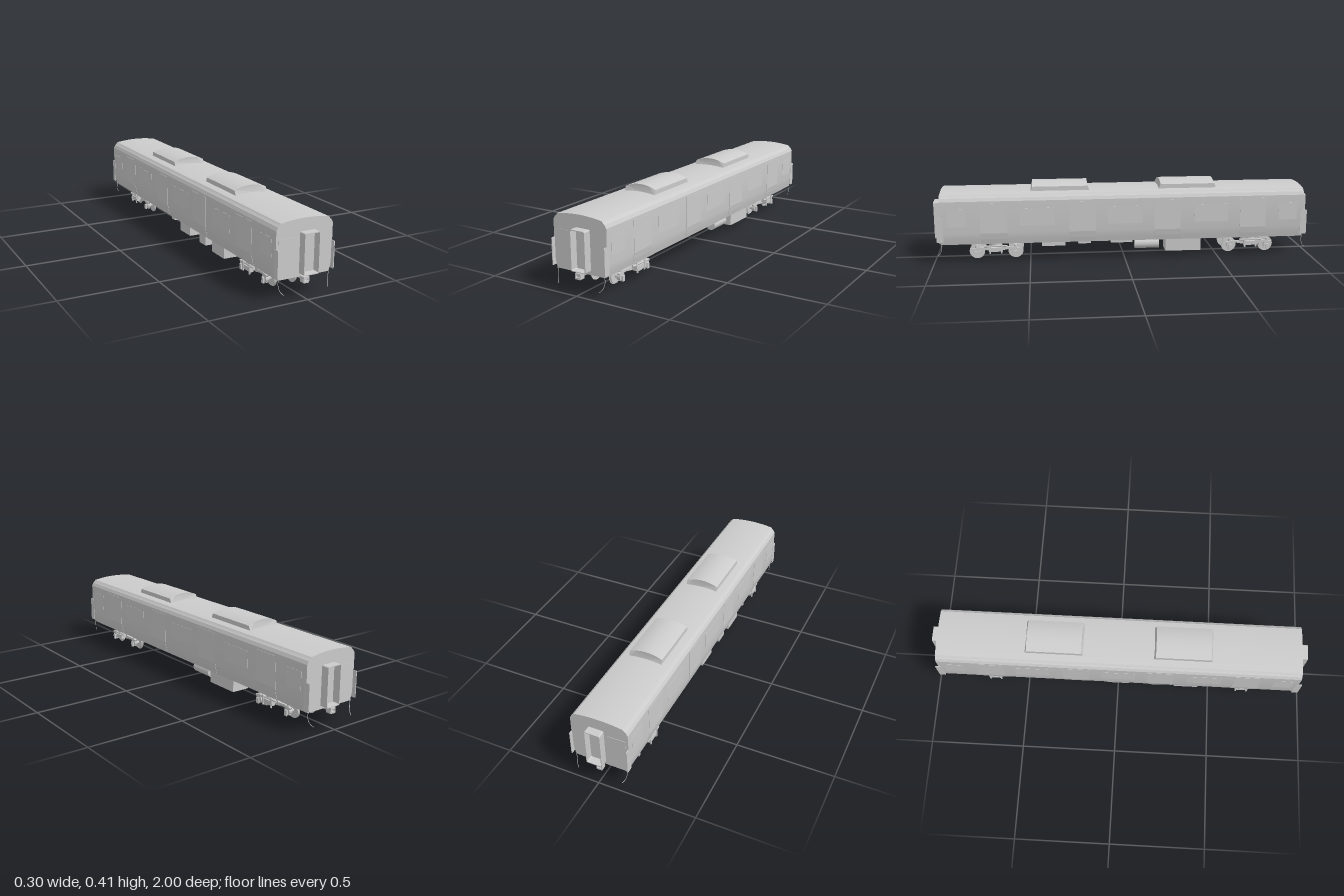
import * as THREE from 'three';
import { toCreasedNormals } from 'three/addons/utils/BufferGeometryUtils.js';

const grey = new THREE.MeshStandardMaterial({ color: 0xcccccc });
const twoSided = new THREE.MeshStandardMaterial({ color: 0xcccccc, side: THREE.DoubleSide });

function add(parent, name, geometry, x = 0, y = 0, z = 0, material = grey) {
  const mesh = new THREE.Mesh(geometry, material);
  mesh.name = name;
  mesh.position.set(x, y, z);
  parent.add(mesh);
  return mesh;
}

// Box given by its limits
function box(parent, name, x0, x1, y0, y1, z0, z1) {
  return add(parent, name, new THREE.BoxGeometry(x1 - x0, y1 - y0, z1 - z0),
    (x0 + x1) / 2, (y0 + y1) / 2, (z0 + z1) / 2);
}

// Cylinder along the chosen axis
function rod(parent, name, r, length, axis, x, y, z, sides = 20) {
  const g = new THREE.CylinderGeometry(r, r, length, sides);
  if (axis === 'x') g.rotateZ(Math.PI / 2);
  if (axis === 'z') g.rotateX(Math.PI / 2);
  return add(parent, name, g, x, y, z);
}

function roundRect(x0, x1, y0, y1, r, Type = THREE.Shape) {
  const s = new Type();
  s.absarc(x1 - r, y0 + r, r, -Math.PI / 2, 0);
  s.absarc(x1 - r, y1 - r, r, 0, Math.PI / 2);
  s.absarc(x0 + r, y1 - r, r, Math.PI / 2, Math.PI);
  s.absarc(x0 + r, y0 + r, r, Math.PI, Math.PI * 1.5);
  s.closePath();
  return s;
}

function extrude(shape, z0, z1) {
  const g = new THREE.ExtrudeGeometry(shape, { depth: z1 - z0, bevelEnabled: false, curveSegments: 5 });
  return g.translate(0, 0, z0);
}

// Outline drawn in (z, y), extruded across x
function extrudeAcross(shape, x0, x1) {
  return extrude(shape, -x1, -x0).rotateY(-Math.PI / 2);
}

// Closed symmetric section from points of its +x half, bottom to top
function mirroredShape(half) {
  const left = half.filter(([x]) => x > 0).reverse().map(([x, y]) => [-x, y]);
  return new THREE.Shape([...half, ...left].map(([x, y]) => new THREE.Vector2(x, y)));
}

// Shallow arc from (x, y0) up to (0, y1)
function crown(x, y0, y1, n = 8) {
  return Array.from({ length: n + 1 }, (_, i) => {
    const t = 1 - i / n;
    return [x * t, y1 - (y1 - y0) * t * t];
  });
}

function buildShell(car) {
  const section = mirroredShape([[0.136, 0.1], [0.143, 0.128], [0.149, 0.16], [0.149, 0.33],
    [0.14, 0.347], [0.134, 0.351], ...crown(0.125, 0.362, 0.373)]);
  add(car, 'carBody', toCreasedNormals(extrude(section, -0.96, 0.96), 0.3));

  // Rooftop units with slightly sloping ends
  for (const s of [-1, 1]) {
    const g = extrude(mirroredShape([[0.088, 0.36], ...crown(0.088, 0.39, 0.409)]), -0.157, 0.157);
    const p = g.attributes.position;
    for (let i = 0; i < p.count; i++) {
      if (p.getY(i) > 0.38) p.setZ(i, p.getZ(i) * 0.92);
    }
    g.computeVertexNormals();
    add(car, 'roofUnit', toCreasedNormals(g, 0.4), 0, 0, s * 0.339);
  }
}

function buildSides(car) {
  const windows = [[-0.092, 0.092], [0.37, 0.55], [-0.55, -0.37], [0.825, 0.925], [-0.925, -0.825]];
  const doors = [[0.155, 0.295], [-0.295, -0.155], [0.615, 0.755], [-0.755, -0.615]];
  // Door leaf follows the tapering lower wall
  const leaf = [[0.1385, 0.105], [0.1445, 0.128], [0.1505, 0.16], [0.1505, 0.318],
    [0.146, 0.318], [0.146, 0.16], [0.134, 0.105]];
  for (const side of [-1, 1]) {
    const wall = new THREE.Group();
    wall.name = side > 0 ? 'leftSide' : 'rightSide';
    car.add(wall);
    for (const [z0, z1] of windows) {
      const shape = roundRect(z0, z1, 0.197, 0.29, 0.006);
      const a = 0.147, b = 0.1502;
      add(wall, 'sideWindow', extrudeAcross(shape, side > 0 ? a : -b, side > 0 ? b : -a));
    }
    const pts = leaf.map(([x, y]) => new THREE.Vector2(side * x, y));
    for (const [z0, z1] of doors) {
      add(wall, 'sideDoor', extrude(new THREE.Shape(pts), z0, z1));
    }
    // Corner plates reaching past the end walls
    for (const e of [-1, 1]) {
      const outline = roundRect(e * 0.963 - 0.017, e * 0.963 + 0.017, 0.115, 0.247, 0.004);
      const x = side * 0.148;
      add(wall, 'cornerPlate', extrudeAcross(outline, x - 0.002, x + 0.002));
    }
  }
}

function buildEnd(car, e) {
  const end = new THREE.Group();
  end.name = e > 0 ? 'frontEnd' : 'backEnd';
  car.add(end);
  const slab = (shape, a, b) => extrude(shape, Math.min(e * a, e * b), Math.max(e * a, e * b));

  // Open gangway frame with the door at its base
  const frame = roundRect(-0.025, 0.057, 0.115, 0.312, 0.007);
  frame.holes.push(roundRect(-0.021, 0.053, 0.119, 0.308, 0.005, THREE.Path));
  add(end, 'gangwayFrame', slab(frame, 0.955, 1.0));
  add(end, 'endWindow', slab(roundRect(-0.136, -0.034, 0.197, 0.29, 0.007), 0.957, 0.9615));

  // Coupler
  rod(end, 'couplerBar', 0.008, 0.14, 'z', 0, 0.088, e * 0.9);
  const head = roundRect(-0.015, 0.015, 0.074, 0.104, 0.002);
  head.holes.push(roundRect(-0.011, 0.011, 0.083, 0.095, 0.002, THREE.Path));
  add(end, 'couplerHead', slab(head, 0.955, 0.985));
  add(end, 'couplerFace', slab(roundRect(-0.013, 0.013, 0.08, 0.097, 0.002), 0.955, 0.978));

  // Hanging hoses
  for (const s of [-1, 1]) {
    const path = new THREE.CatmullRomCurve3([[0.134, 0.104, 0.962], [0.134, 0.08, 0.96],
      [0.13, 0.055, 0.966], [0.122, 0.04, 0.978], [0.117, 0.036, 0.984]]
      .map(([x, y, z]) => new THREE.Vector3(s * x, y, e * z)));
    add(end, 'hose', new THREE.TubeGeometry(path, 16, 0.0013, 6), 0, 0, 0, twoSided);
  }
}

function buildBogie(car, z) {
  const bogie = new THREE.Group();
  bogie.name = 'bogie';
  bogie.position.z = z;
  car.add(bogie);

  // Centre bolster and pivot
  box(bogie, 'bolster', -0.118, 0.118, 0.06, 0.078, -0.024, 0.024);
  add(bogie, 'pivot', extrude(mirroredShape([[0.052, 0.076], [0.052, 0.09], [0.064, 0.102], [0, 0.102]]), -0.022, 0.022));

  // Side frame outline, raised in the middle and dipping to the axles
  const outline = mirroredShape([[0.03, 0.052], [0.07, 0.06], [0.12, 0.055], [0.125, 0.064],
    [0.085, 0.072], [0.045, 0.07], [0.03, 0.078]]);
  for (const s of [-1, 1]) {
    add(bogie, 'sideFrame', extrudeAcross(outline, s * 0.091 - 0.007, s * 0.091 + 0.007));
    rod(bogie, 'airSpring', 0.03, 0.012, 'y', s * 0.1, 0.093, 0, 24);
    rod(bogie, 'springSeat', 0.02, 0.014, 'y', s * 0.1, 0.082, 0);
    const x = s * 0.122;
    box(bogie, 'outerBeam', x - 0.01, x + 0.01, 0.055, 0.077, -0.035, 0.035);
    for (const e of [-1, 1]) {
      box(bogie, 'hanger', s * 0.132 - 0.003, s * 0.132 + 0.003, 0.045, 0.095, e * 0.03 - 0.004, e * 0.03 + 0.004);
    }
    rod(bogie, 'damper', 0.005, 0.12, 'z', s * 0.128, 0.085, 0, 10);
  }

  // Wheelsets with axle boxes, springs and brake blocks
  for (const e of [-1, 1]) {
    const az = e * 0.102;
    rod(bogie, 'axle', 0.01, 0.18, 'x', 0, 0.042, az, 16);
    for (const s of [-1, 1]) {
      rod(bogie, 'wheel', 0.037, 0.008, 'x', s * 0.057, 0.041, az, 28);
      rod(bogie, 'wheelFlange', 0.041, 0.003, 'x', s * 0.053, 0.041, az, 28);
      rod(bogie, 'axleBox', 0.019, 0.02, 'x', s * 0.087, 0.043, az, 12);
      box(bogie, 'axleBoxFoot', s * 0.087 - 0.006, s * 0.087 + 0.006, 0.024, 0.04, az - 0.012, az + 0.012);
      rod(bogie, 'axleSpring', 0.009, 0.03, 'y', s * 0.087, 0.067, az, 12);
      box(bogie, 'axleArm', s * 0.102 - 0.004, s * 0.102 + 0.004, 0.022, 0.05, az - 0.008, az + 0.008);
    }
  }
}

function buildEquipment(car) {
  // Underfloor cases: x, bottom y, z limits
  const cases = [[-0.12, -0.035, 0.032, 0.31, 0.44], [-0.12, -0.04, 0.04, 0.17, 0.24],
    [-0.12, -0.04, 0.04, -0.06, 0.06], [-0.11, -0.07, 0.068, -0.19, -0.15],
    [0.025, 0.122, 0.032, -0.41, -0.22]];
  for (const [x0, x1, y0, z0, z1] of cases) {
    box(car, 'underfloorCase', x0, x1, y0, 0.102, z0, z1);
  }
  rod(car, 'airTank', 0.027, 0.13, 'z', 0.085, 0.069, -0.122, 24);
}

export function createModel() {
  const car = new THREE.Group();
  car.name = 'railCar';
  buildShell(car);
  buildSides(car);
  for (const e of [-1, 1]) {
    buildEnd(car, e);
    buildBogie(car, e * 0.68);
  }
  buildEquipment(car);
  return car;
}
